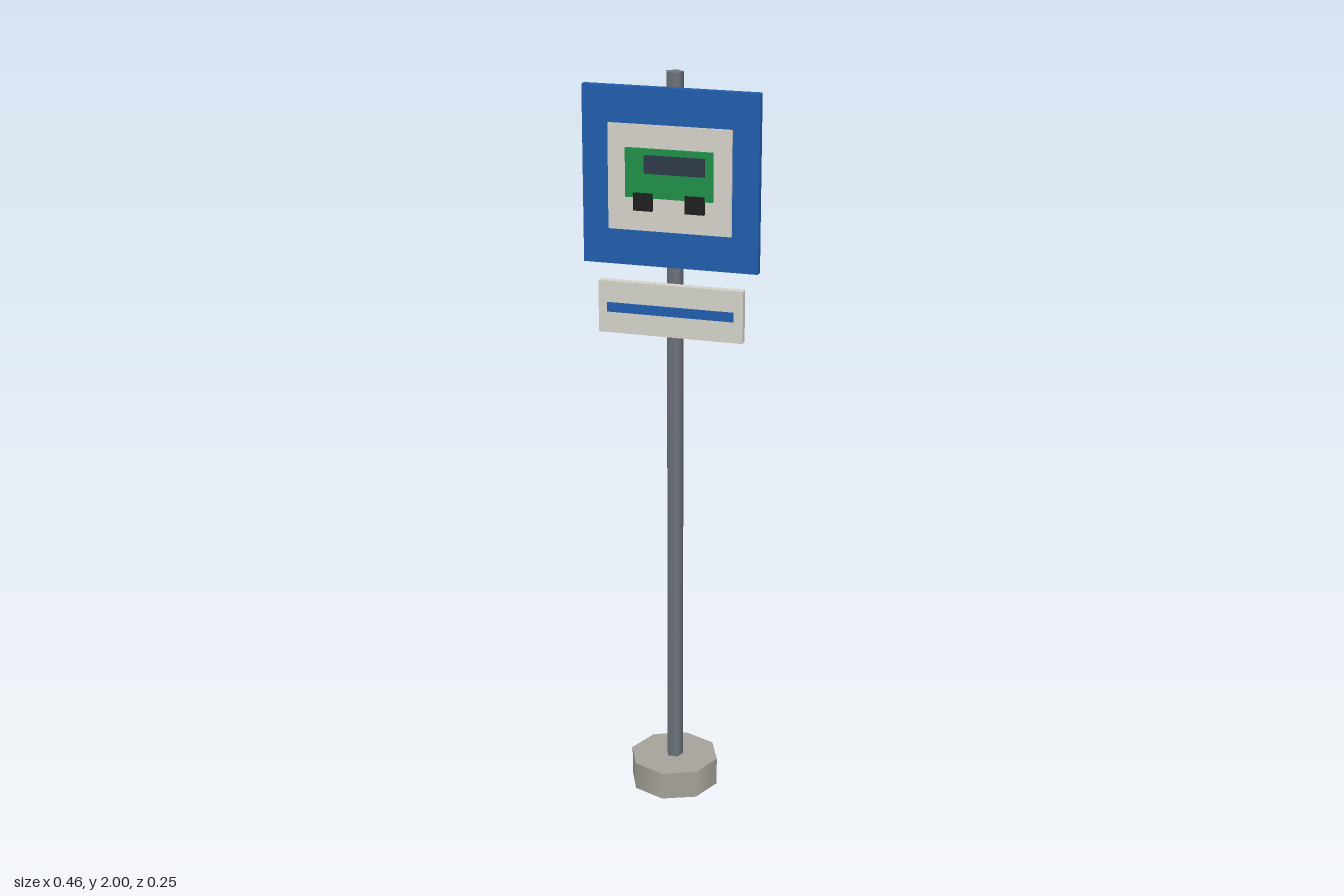
import * as THREE from 'three';

const mat = (name, color) => {
  const m = new THREE.MeshStandardMaterial({ color });
  m.name = name;
  return m;
};

export function createModel() {
  const group = new THREE.Group();
  const concrete = mat('concrete', 0xa5a39a);
  const steel = mat('steel', 0x6f747d);
  const blue = mat('signBlue', 0x1f5cad);
  const white = mat('panelWhite', 0xd4d2ca);
  const green = mat('busGreen', 0x1f8f48);
  const glass = mat('windowGlass', 0x2c3848);
  const black = mat('tyreBlack', 0x1c1c1c);

  const add = (name, geometry, material) => {
    const mesh = new THREE.Mesh(geometry, material);
    mesh.name = name;
    group.add(mesh);
    return mesh;
  };
  // Box given by its extents on each axis
  const plate = (name, material, [x0, x1], [y0, y1], [z0, z1]) =>
    add(name, new THREE.BoxGeometry(x1 - x0, y1 - y0, z1 - z0), material)
      .position.set((x0 + x1) / 2, (y0 + y1) / 2, (z0 + z1) / 2);

  // Octagonal foot and five-sided pole with one edge to the back
  add('base', new THREE.CylinderGeometry(0.123, 0.123, 0.078, 8), concrete).position.y = 0.039;
  const pole = add('pole', new THREE.CylinderGeometry(0.0235, 0.0235, 1.94, 5), steel);
  pole.position.y = 1.03;
  pole.rotation.y = Math.PI;

  // Main sign with its white field
  plate('signBoard', blue, [-0.231, 0.231], [1.504, 1.964], [0.0195, 0.041]);
  plate('signField', white, [-0.162, 0.162], [1.598, 1.871], [0.04, 0.047]);

  // Bus pictogram
  plate('busBody', green, [-0.115, 0.115], [1.685, 1.812], [0.046, 0.053]);
  plate('busWindow', glass, [-0.064, 0.094], [1.749, 1.796], [0.052, 0.057]);
  for (const side of [-1, 1]) {
    const x = side * 0.068;
    plate(side < 0 ? 'rightWheel' : 'leftWheel', black, [x - 0.025, x + 0.025], [1.652, 1.698], [0.047, 0.058]);
  }

  // Small line plate below
  plate('lowerPlate', white, [-0.193, 0.193], [1.317, 1.456], [0.0195, 0.041]);
  plate('lowerStripe', blue, [-0.169, 0.169], [1.374, 1.399], [0.04, 0.045]);

  return group;
}
